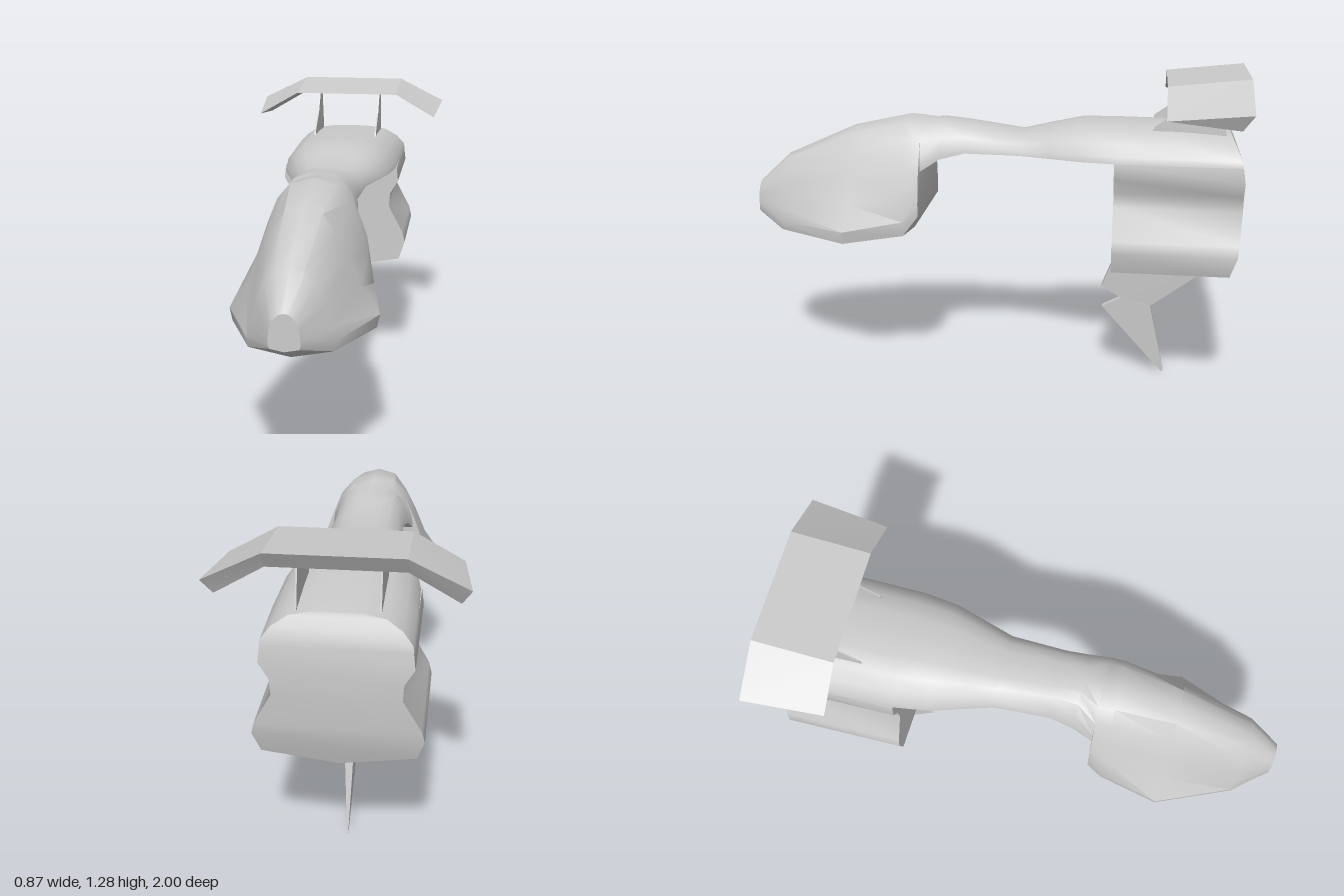
import * as THREE from 'three';
import { toCreasedNormals } from 'three/addons/utils/BufferGeometryUtils.js';

const material = new THREE.MeshStandardMaterial({ color: 0xcccccc, side: THREE.DoubleSide });

// Skin a row of closed rings and close both ends with strips
function loft(rings, crease) {
  const pos = [];
  const tri = (...points) => points.forEach((p) => pos.push(...p));
  const quad = (a, b, c, d) => { tri(a, b, c); tri(a, c, d); };
  const n = rings[0].length;
  for (let s = 0; s < rings.length - 1; s++) {
    const r = rings[s], q = rings[s + 1];
    for (let i = 0; i < n; i++) {
      const j = (i + 1) % n;
      quad(r[i], r[j], q[j], q[i]);
    }
  }
  const first = rings[0], last = rings[rings.length - 1];
  for (let i = 0; i < Math.floor(n / 2); i++) {
    const k = n - 1 - i;
    quad(first[i], first[k], first[k - 1], first[i + 1]);
    quad(last[i], last[i + 1], last[k - 1], last[k]);
  }
  const g = new THREE.BufferGeometry();
  g.setAttribute('position', new THREE.Float32BufferAttribute(pos, 3));
  return toCreasedNormals(g, crease);
}

// Mirror a half profile (top centre to bottom centre) into a ring; z may depend on y
function ring(half, z) {
  const right = half.map(([x, y]) => [x, y, typeof z === 'function' ? z(y) : z]);
  return [...right, ...right.map(([x, y, d]) => [-x, y, d]).reverse()];
}

// Gently bowed rear end
const tail = [[0.475, -0.94], [0.6, -0.98], [0.75, -0.995], [0.9, -0.995], [0.98, -0.98], [1.06, -0.94]];
function rearZ(y) {
  for (let i = 1; i < tail.length; i++) {
    const [y0, z0] = tail[i - 1], [y1, z1] = tail[i];
    if (y <= y1) return z0 + ((z1 - z0) * (y - y0)) / (y1 - y0);
  }
  return -0.94;
}

// Arched section with a flat underside
function arch(z, w, top, bottom) {
  const fx = [0, 0.35, 0.64, 0.85, 0.98, 1, 1, 0];
  const fy = [1, 0.97, 0.85, 0.55, 0.2, 0, 0, 0];
  return ring(fx.map((f, i) => [f * w, bottom + fy[i] * (top - bottom)]), z);
}

// Side-view plate given as [z, y] points, with half thickness depending on y
function plate(points, halfThickness) {
  const shape = new THREE.Shape(points.map(([z, y]) => new THREE.Vector2(-z, y)));
  const g = new THREE.ExtrudeGeometry(shape, { depth: 1, bevelEnabled: false });
  g.translate(0, 0, -0.5);
  g.rotateY(Math.PI / 2);
  const p = g.attributes.position;
  for (let i = 0; i < p.count; i++) p.setX(i, p.getX(i) * 2 * halfThickness(p.getY(i)));
  g.computeVertexNormals();
  return g;
}

export function createModel() {
  const model = new THREE.Group();
  const add = (name, geometry) => {
    const mesh = new THREE.Mesh(geometry, material);
    mesh.name = name;
    model.add(mesh);
    return mesh;
  };

  // Nose pod, narrow neck and rear deck in one skin
  add('body', loft([
    ring([[0, 0.78], [0.02, 0.775], [0.04, 0.755], [0.05, 0.73], [0.055, 0.69], [0.055, 0.665], [0.05, 0.655], [0, 0.645]], 1),
    ring([[0, 0.9], [0.05, 0.885], [0.09, 0.84], [0.12, 0.77], [0.14, 0.69], [0.155, 0.64], [0.15, 0.605], [0, 0.575]], 0.87),
    ring([[0, 1.03], [0.07, 1.01], [0.12, 0.94], [0.165, 0.85], [0.21, 0.74], [0.28, 0.64], [0.27, 0.59], [0, 0.545]], 0.58),
    ring([[0, 1.083], [0.09, 1.06], [0.14, 1], [0.18, 0.9], [0.21, 0.8], [0.235, 0.68], [0.225, 0.62], [0, 0.595]], 0.34),
    ring([[0, 1.078], [0.09, 1.055], [0.14, 1], [0.175, 0.92], [0.2, 0.85], [0.215, 0.75], [0.215, 0.7], [0, 0.69]], 0.28),
    ring([[0, 1.077], [0.09, 1.055], [0.14, 1], [0.165, 0.93], [0.17, 0.89], [0.17, 0.875], [0.17, 0.875], [0, 0.875]], 0.278),
    arch(0.2, 0.155, 1.07, 0.925),
    arch(0.1, 0.142, 1.06, 0.95),
    arch(-0.12, 0.153, 1.028, 0.95),
    arch(-0.24, 0.19, 1.055, 0.95),
    arch(-0.36, 0.228, 1.08, 0.95),
    arch(-0.5, 0.248, 1.08, 0.95),
    arch(-0.75, 0.255, 1.077, 0.95),
    arch(rearZ, 0.255, 1.062, 0.95),
  ], 0.65));

  // Waisted block hanging below the rear deck
  const block = [[0, 0.95], [0.253, 0.95], [0.26, 0.89], [0.225, 0.83], [0.22, 0.77],
    [0.285, 0.65], [0.296, 0.605], [0.27, 0.522], [0, 0.475]];
  add('rearBlock', loft([ring(block, -0.5), ring(block, rearZ)], 0.75));

  // Wedge-section wing with drooping tips
  const wingRing = (front, top, low, drop) => [
    [front, 1.25 - drop, -0.69], [top, 1.283 - drop, -1], [low, 1.22 - drop, -0.96]];
  add('wing', loft([
    wingRing(0.405, 0.433, 0.4, 0.1),
    wingRing(0.23, 0.23, 0.23, 0),
    wingRing(-0.23, -0.23, -0.23, 0),
    wingRing(-0.405, -0.433, -0.4, 0.1),
  ], 0.2));

  // Thin wing struts
  const strut = [[-0.64, 1.06], [-0.65, 1.08], [-0.75, 1.15], [-0.81, 1.24], [-0.87, 1.235], [-0.9, 1.13], [-0.925, 1.05]];
  for (const side of [1, -1]) {
    add(side > 0 ? 'leftStrut' : 'rightStrut', plate(strut, () => 0.003)).position.x = side * 0.14;
  }

  // Keel bracket and pointed blade below the block
  add('keelBracket', plate(
    [[-0.5, 0.49], [-0.455, 0.375], [-0.54, 0.325], [-0.645, 0.285], [-0.9, 0.48], [-0.9, 0.5]],
    (y) => 0.013 + (y - 0.285) * 0.07));
  add('keelBlade', plate(
    [[-0.46, 0.285], [-0.545, 0.33], [-0.66, 0.295], [-0.725, 0.005], [-0.715, 0]],
    (y) => 0.002 + y * 0.045));

  return model;
}
